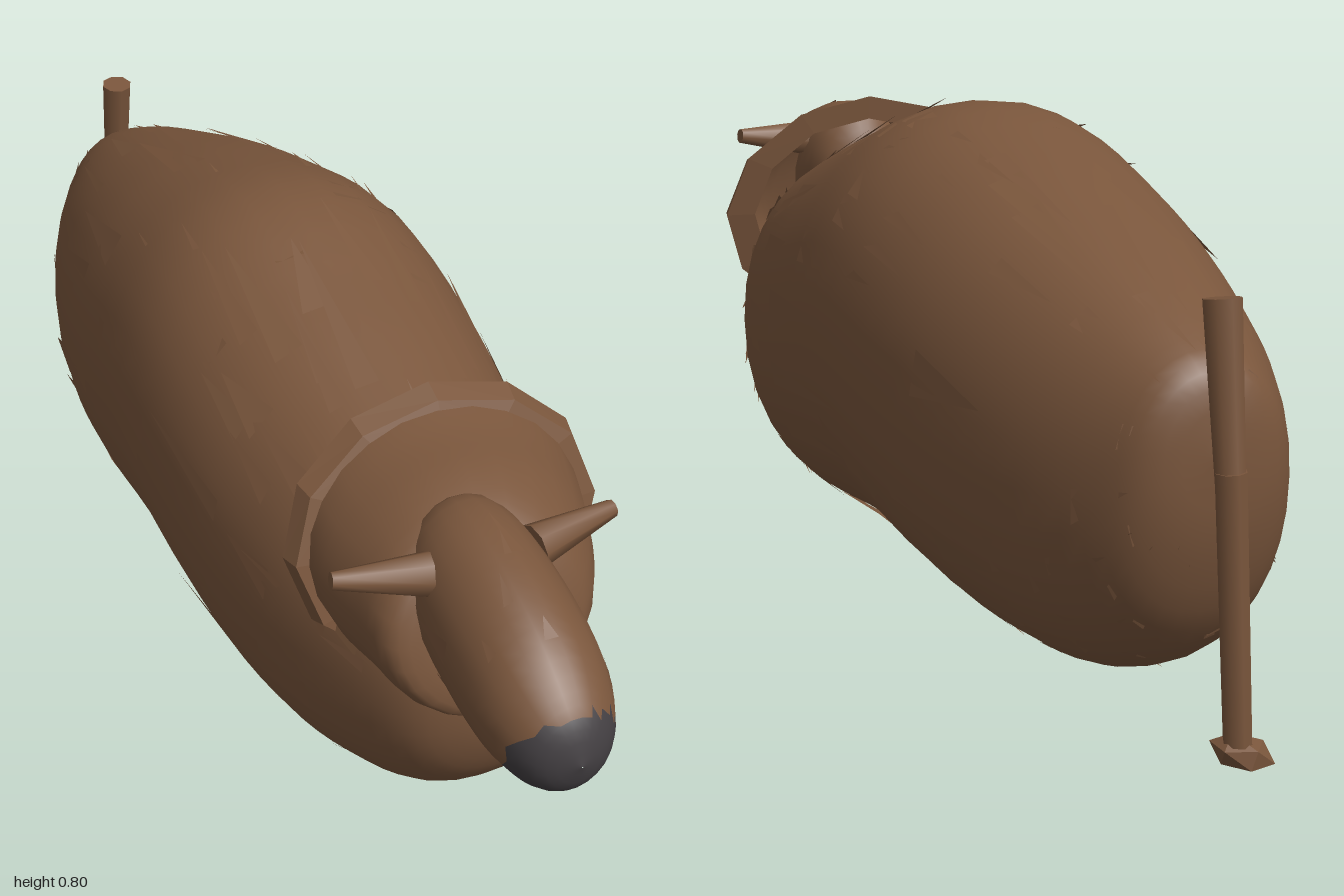
import * as THREE from 'three';

const fur = new THREE.MeshStandardMaterial({ color: 0x7a563c });
fur.name = 'brown fur';
fur.side = THREE.DoubleSide;
const dark = new THREE.MeshStandardMaterial({ color: 0x433f42 });
dark.name = 'dark muzzle';

// Smooth surface through oval sections [z, centre x, centre y, radius x, radius y], back to front
function ovalSurface(sections, tilt = 0, power = 1) {
  const centres = new THREE.CatmullRomCurve3(
    sections.map(([z, x, y]) => new THREE.Vector3(x, y, z)), false, 'catmullrom', 0.5);
  const radii = new THREE.CatmullRomCurve3(
    sections.map((s) => new THREE.Vector3(s[3], s[4], 0)), false, 'catmullrom', 0.5);
  const bend = (v) => Math.sign(v) * Math.abs(v) ** power;
  return (t, angle, scale = 1) => {
    const c = centres.getPoint(t), r = radii.getPoint(t);
    const dy = bend(Math.sin(angle)) * r.y * scale;
    return new THREE.Vector3(c.x + bend(Math.cos(angle)) * r.x * scale, c.y + dy, c.z + tilt * dy);
  };
}

function loft(surface, rings, sides) {
  const pos = [], index = [];
  for (let i = 0; i <= rings; i++) {
    for (let j = 0; j < sides; j++) pos.push(...surface(i / rings, (j / sides) * Math.PI * 2).toArray());
  }
  for (let i = 0; i < rings; i++) {
    for (let j = 0; j < sides; j++) {
      const k = (j + 1) % sides;
      const a = i * sides + j, b = i * sides + k, c = b + sides, d = a + sides;
      index.push(a, b, d, b, c, d);
    }
  }
  const g = new THREE.BufferGeometry();
  g.setAttribute('position', new THREE.Float32BufferAttribute(pos, 3));
  g.setIndex(index);
  g.computeVertexNormals();
  return g;
}

// Tapered rod between two points
function rod(from, to, r0, r1, sides) {
  const a = new THREE.Vector3(...from), b = new THREE.Vector3(...to);
  const dir = b.clone().sub(a);
  const g = new THREE.CylinderGeometry(r1, r0, dir.length(), sides);
  g.applyQuaternion(new THREE.Quaternion().setFromUnitVectors(
    new THREE.Vector3(0, 1, 0), dir.clone().normalize()));
  const mid = a.add(b).multiplyScalar(0.5);
  return g.translate(mid.x, mid.y, mid.z);
}

// Flat locks lying on a surface with their tips swept back and slightly raised
function locks(surface, count, seed, t0, t1, length, width) {
  let s = seed;
  const rand = () => (s = (s * 16807) % 2147483647) / 2147483647;
  const pos = [];
  for (let i = 0; i < count; i++) {
    const t = t0 + (t1 - t0) * rand(), a = rand() * Math.PI * 2;
    const w = width * (0.5 + rand()), l = length * (0.5 + rand());
    const lean = (rand() - 0.5) * width * 2;
    pos.push(
      ...surface(t, a - w, 1.002).toArray(),
      ...surface(t, a + w, 1.002).toArray(),
      ...surface(Math.max(t - l, 0), a + lean, 1.025).toArray());
  }
  const g = new THREE.BufferGeometry();
  g.setAttribute('position', new THREE.Float32BufferAttribute(pos, 3));
  g.computeVertexNormals();
  return g;
}

export function createModel() {
  const model = new THREE.Group();
  const add = (name, geometry, material = fur) => {
    const mesh = new THREE.Mesh(geometry, material);
    mesh.name = name;
    model.add(mesh);
    return mesh;
  };

  // Long sagging body
  const bodySurface = ovalSurface([
    [-0.925, 0, 0.43, 0.001, 0.001],
    [-0.91, 0, 0.415, 0.09, 0.12],
    [-0.85, 0, 0.37, 0.145, 0.21],
    [-0.72, 0, 0.355, 0.205, 0.28],
    [-0.55, 0, 0.375, 0.25, 0.32],
    [-0.35, 0, 0.41, 0.28, 0.345],
    [-0.12, 0, 0.442, 0.29, 0.355],
    [0.1, 0, 0.405, 0.287, 0.335],
    [0.28, 0, 0.37, 0.265, 0.315],
    [0.42, 0, 0.355, 0.235, 0.285],
    [0.56, 0, 0.345, 0.185, 0.225],
    [0.65, 0, 0.34, 0.135, 0.145],
    [0.69, 0, 0.345, 0.07, 0.07],
    [0.7, 0, 0.35, 0.001, 0.001],
  ], 0, 0.93);
  add('body', loft(bodySurface, 48, 32));
  add('bodyFurLocks', locks(bodySurface, 150, 71, 0.1, 0.85, 0.08, 0.07));

  // Neck ruff, leaning back towards the top
  add('neckRuff', loft(ovalSurface([
    [0.47, 0, 0.535, 0.222, 0.185],
    [0.54, -0.01, 0.53, 0.212, 0.175],
    [0.62, -0.02, 0.53, 0.19, 0.165],
    [0.69, -0.035, 0.525, 0.165, 0.145],
    [0.72, -0.04, 0.52, 0.12, 0.11],
    [0.73, -0.045, 0.52, 0.001, 0.001],
  ], -0.25), 18, 24));

  // Faceted lip around the back of the ruff
  const lip = loft(ovalSurface([
    [0.46, 0, 0.535, 0.2, 0.165],
    [0.465, 0, 0.535, 0.25, 0.205],
    [0.495, 0, 0.535, 0.242, 0.192],
    [0.5, 0, 0.535, 0.2, 0.165],
  ], -0.25), 3, 12).toNonIndexed();
  lip.computeVertexNormals();
  add('ruffLip', lip);

  // Head, with the front faces in the muzzle colour
  const headSurface = ovalSurface([
    [0.58, -0.055, 0.59, 0.001, 0.001],
    [0.61, -0.055, 0.59, 0.07, 0.09],
    [0.67, -0.055, 0.58, 0.095, 0.118],
    [0.75, -0.055, 0.563, 0.1, 0.125],
    [0.83, -0.055, 0.543, 0.1, 0.122],
    [0.9, -0.055, 0.525, 0.094, 0.107],
    [0.955, -0.055, 0.508, 0.074, 0.08],
    [0.985, -0.055, 0.5, 0.045, 0.048],
    [1.0, -0.055, 0.498, 0.001, 0.001],
  ]);
  const head = loft(headSurface, 24, 22);
  const p = head.attributes.position, ix = head.index.array;
  const furFaces = [], muzzleFaces = [];
  for (let i = 0; i < ix.length; i += 3) {
    const face = [ix[i], ix[i + 1], ix[i + 2]];
    const y = face.reduce((sum, v) => sum + p.getY(v), 0) / 3;
    const z = face.reduce((sum, v) => sum + p.getZ(v), 0) / 3;
    (z - 0.57 * (y - 0.43) > 0.9 ? muzzleFaces : furFaces).push(...face);
  }
  head.setIndex([...furFaces, ...muzzleFaces]);
  head.addGroup(0, furFaces.length, 0);
  head.addGroup(furFaces.length, muzzleFaces.length, 1);
  add('head', head, [fur, dark]);
  add('headFurLocks', locks(headSurface, 24, 19, 0.35, 0.66, 0.08, 0.1));

  // Ears taper outwards from the sides of the head
  for (const [name, side] of [['leftEar', 1], ['rightEar', -1]]) {
    add(name, rod([-0.055 + side * 0.08, 0.63, 0.7], [-0.055 + side * 0.215, 0.643, 0.678], 0.033, 0.013, 8));
  }

  // Upright tail with a small tuft at the foot
  add('tailTop', rod([0, 0.4, -0.955], [0, 0.64, -0.92], 0.021, 0.027, 8));
  add('tailLower', rod([-0.02, 0.03, -0.957], [0, 0.42, -0.955], 0.02, 0.022, 8));
  const tuft = new THREE.IcosahedronGeometry(0.035, 0).scale(1.35, 0.75, 1.2);
  tuft.rotateZ(0.35).translate(-0.03, 0.031, -0.95);
  add('tailTuft', tuft);
  return model;
}
